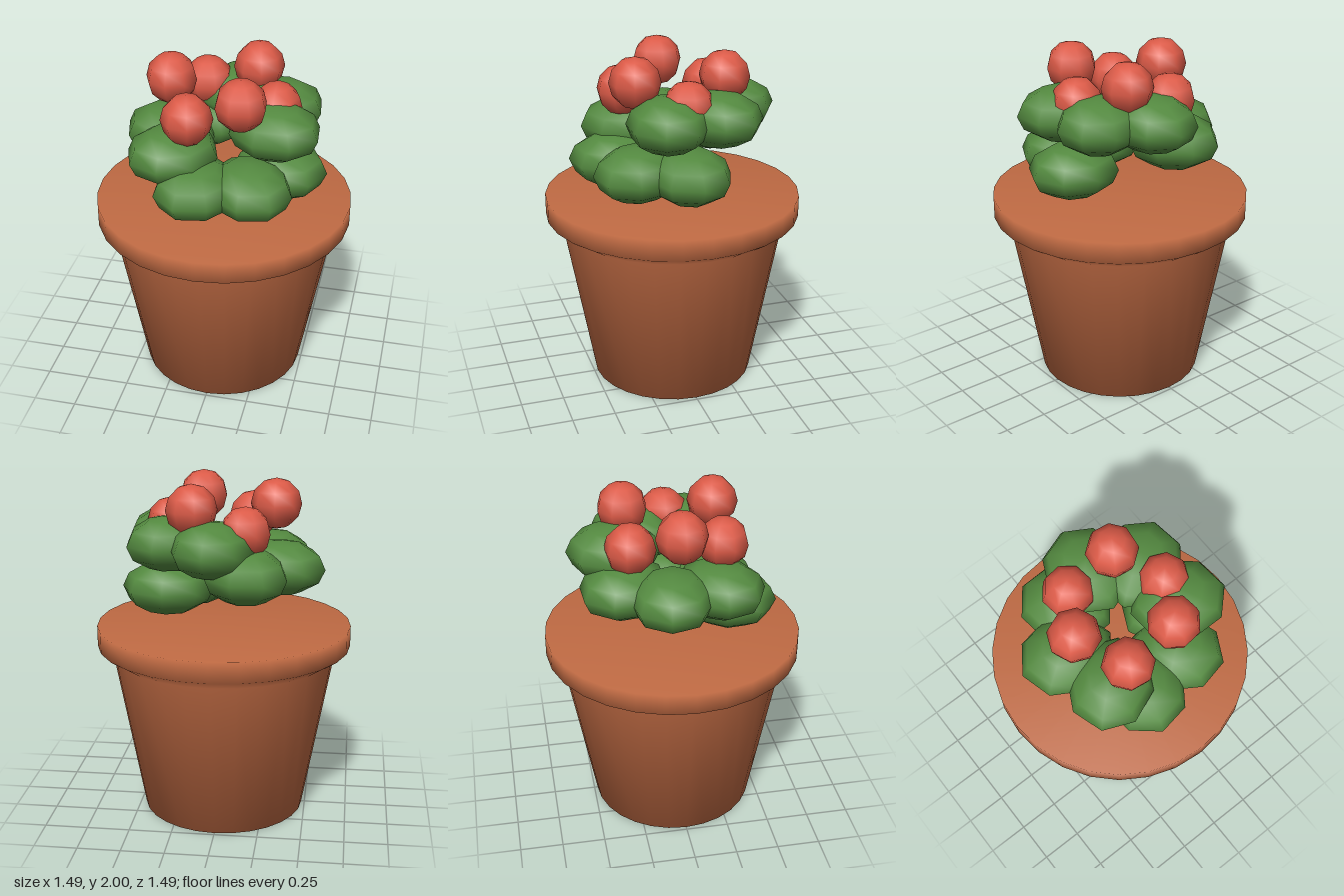
import * as THREE from 'three';

export function createModel() {
  const group = new THREE.Group();
  group.name = 'pottedPlant';

  const terracotta = new THREE.MeshStandardMaterial({ color: 0xbf6a43 });
  terracotta.name = 'terracotta';
  const leafGreen = new THREE.MeshStandardMaterial({ color: 0x548a40 });
  leafGreen.name = 'leafGreen';
  const berryRed = new THREE.MeshStandardMaterial({ color: 0xdb5a47 });
  berryRed.name = 'berryRed';

  // Tapered pot with a flared rim, closed below and on top
  const profile = [
    [0, 0], [0.48, 0], [0.655, 0.96], [0.745, 1.02], [0.745, 1.14], [0, 1.14],
  ].map(([r, y]) => new THREE.Vector2(r, y));
  const pot = new THREE.Mesh(new THREE.LatheGeometry(profile, 28), terracotta);
  pot.name = 'pot';
  group.add(pot);

  // Places a ball on a circle around the stem, turned to face outwards
  function addAround(geometry, material, name, radius, angle, y) {
    const mesh = new THREE.Mesh(geometry, material);
    mesh.name = name;
    mesh.position.set(Math.cos(angle) * radius, y, Math.sin(angle) * radius);
    mesh.rotation.y = -angle;
    group.add(mesh);
  }

  // Plump leaves spiralling by the golden angle, in three tiers
  const leafGeometry = new THREE.SphereGeometry(1, 8, 6).scale(0.27, 0.157, 0.24);
  for (let i = 0; i < 9; i++) {
    addAround(leafGeometry, leafGreen, `leaf${i + 1}`, 0.33, i * 2.4, 1.345 + (i % 3) * 0.152);
  }

  // Ring of six berries at alternating heights
  const berryGeometry = new THREE.SphereGeometry(0.146, 8, 6);
  for (let i = 0; i < 6; i++) {
    addAround(berryGeometry, berryRed, `berry${i + 1}`, 0.3, (i * Math.PI) / 3, i % 2 ? 1.854 : 1.735);
  }

  return group;
}
